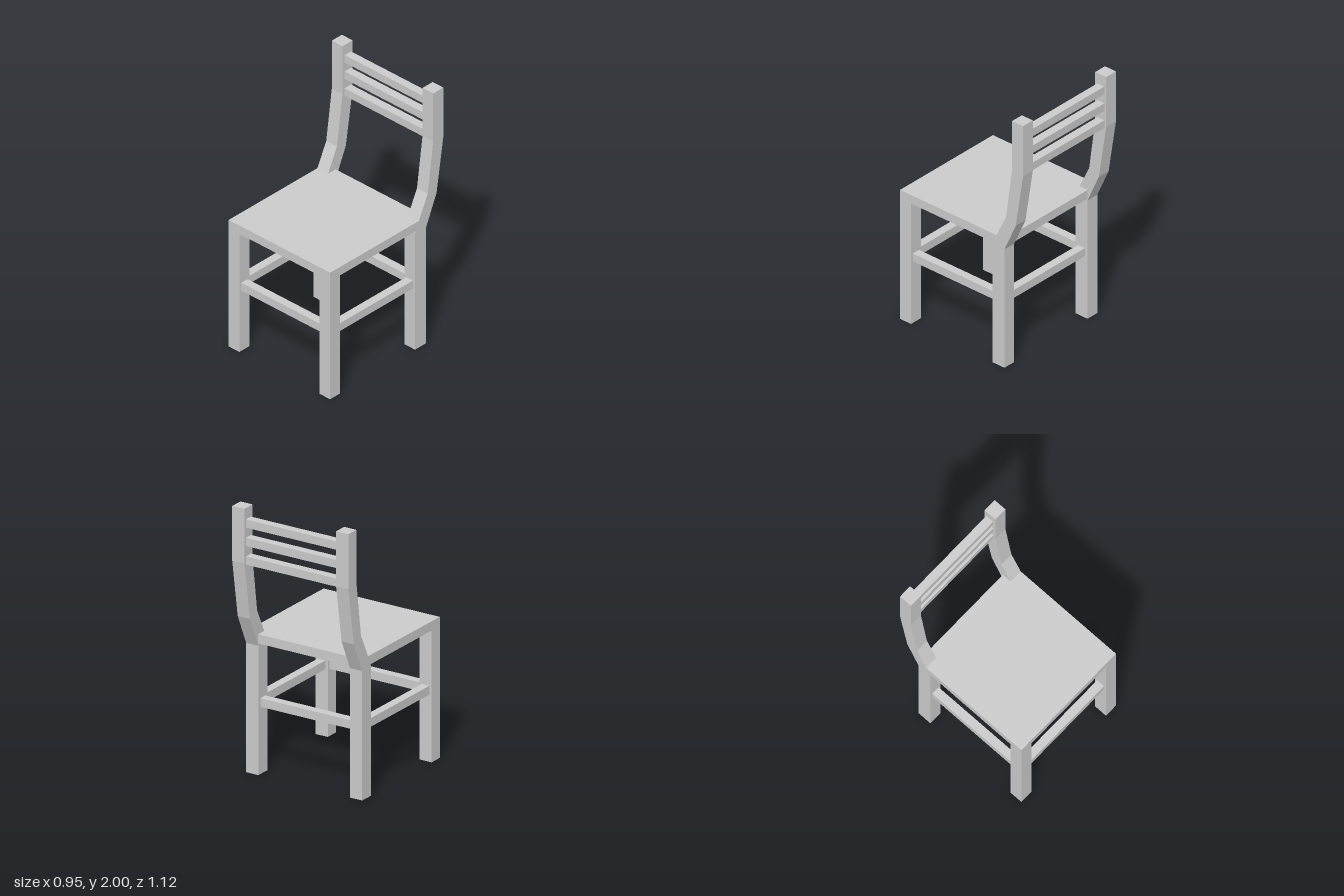
import * as THREE from 'three';

const material = new THREE.MeshStandardMaterial({ color: 0xcccccc, flatShading: true });

export function createModel() {
  const chair = new THREE.Group();
  chair.name = 'chair';

  const add = (name, geometry, x = 0, y = 0, z = 0) => {
    const mesh = new THREE.Mesh(geometry, material);
    mesh.name = name;
    mesh.position.set(x, y, z);
    chair.add(mesh);
  };
  const box = (name, w, h, d, x, y, z) => add(name, new THREE.BoxGeometry(w, h, d), x, y, z);

  const leg = 0.1;      // leg width
  const legX = 0.424;   // leg centre line
  const frontZ = 0.51;
  const backZ = -0.335;
  const bar = 0.063;    // rung and slat thickness
  const rungY = 0.523;
  const span = 2 * legX - leg;

  // Seat board
  box('seat', 0.948, 0.068, 0.952, 0, 0.996, 0.084);

  // Side profile of a back leg and its bent backrest post, as (z, y)
  const profile = new THREE.Shape([
    [-0.28, 0], [-0.28, 0.95], [-0.318, 1.03], [-0.405, 1.21], [-0.46, 1.61], [-0.46, 2],
    [-0.56, 2], [-0.56, 1.6], [-0.493, 1.175], [-0.39, 0.945], [-0.39, 0],
  ].map(([z, y]) => new THREE.Vector2(-z, y)));
  const postGeometry = new THREE.ExtrudeGeometry(profile, { depth: leg, bevelEnabled: false });
  postGeometry.translate(0, 0, -leg / 2).rotateY(Math.PI / 2); // depth to x, profile to z

  for (const [side, s] of [['left', 1], ['right', -1]]) {
    box(side + 'FrontLeg', leg, 0.965, leg, s * legX, 0.4825, frontZ);
    add(side + 'BackLegAndPost', postGeometry, s * legX);
    box(side + 'Rung', bar, bar, frontZ - backZ - leg, s * legX, rungY, (frontZ + backZ) / 2);
  }

  // Cross rungs between the legs
  box('frontRung', span, bar, bar, 0, rungY, frontZ);
  box('backRung', span, bar, bar, 0, rungY, backZ);

  // Backrest slats
  [1.618, 1.754, 1.888].forEach((y, i) => box('backSlat' + (i + 1), span, 0.06, bar, 0, y, -0.512));

  return chair;
}
